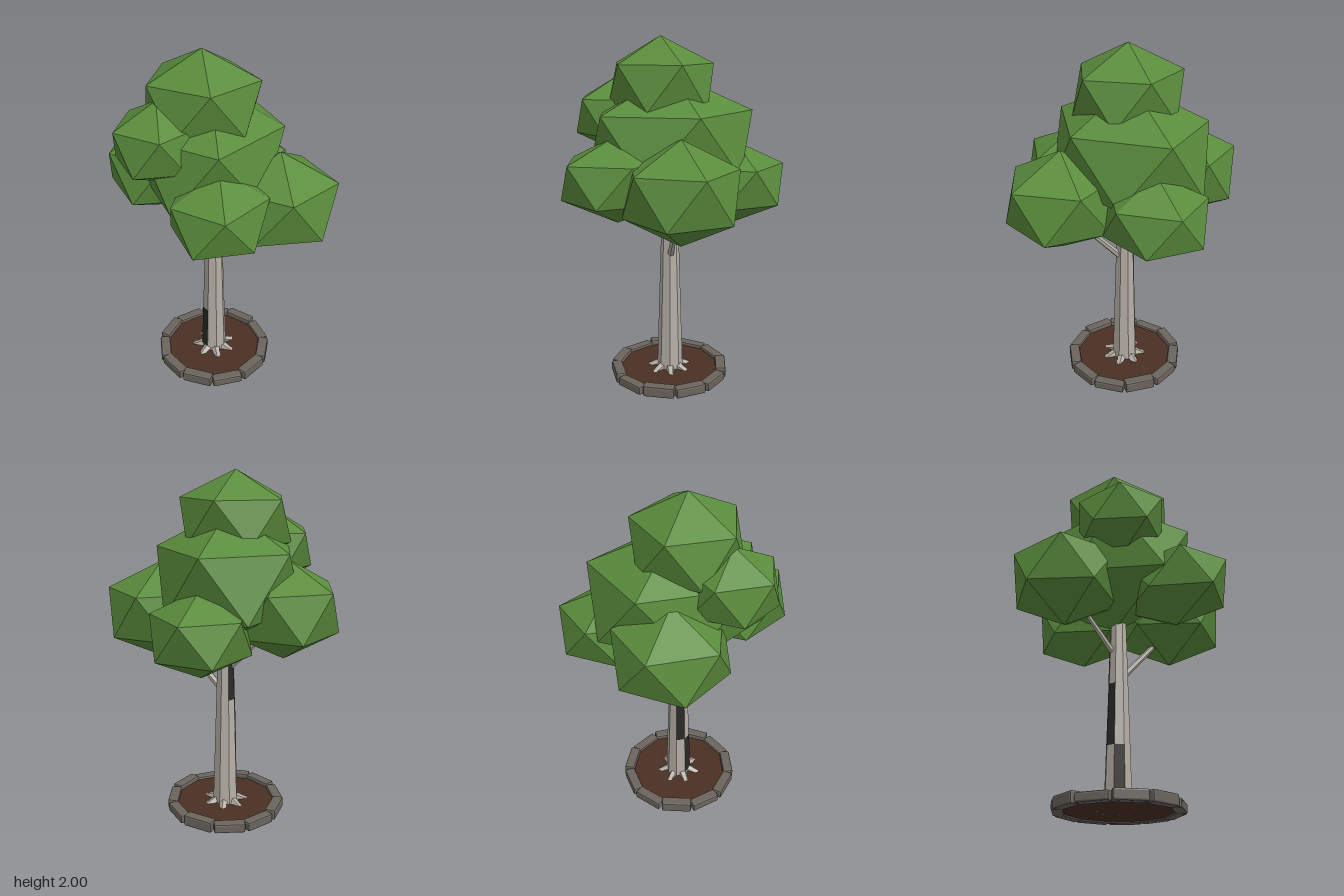
import * as THREE from 'three';
import { RoundedBoxGeometry } from 'three/addons/geometries/RoundedBoxGeometry.js';

const mat = (color) => new THREE.MeshStandardMaterial({ color, flatShading: true });

export function createModel() {
  const tree = new THREE.Group();
  const leaf = mat(0x5a8c3c), bark = mat(0xb5afa5), darkBark = mat(0x2b2a28);
  const stone = mat(0x6a645d), soil = mat(0x4a3024);
  const CX = -0.03; // trunk and planter axis

  const add = (name, geometry, material, parent = tree) => {
    const mesh = new THREE.Mesh(geometry, material);
    mesh.name = name;
    parent.add(mesh);
    return mesh;
  };
  const addGroup = (name) => {
    const g = new THREE.Group();
    g.name = name;
    tree.add(g);
    return g;
  };

  // Foliage: squashed icosahedra standing on a corner
  const foliage = addGroup('foliage');
  const clumps = [
    // name, centre, radii
    ['crownClump', [-0.08, 1.73, 0.03], [0.345, 0.27, 0.33]],
    ['coreClump', [-0.05, 1.42, -0.02], [0.45, 0.38, 0.53]],
    ['leftClump', [0.345, 1.205, 0.085], [0.35, 0.285, 0.345]],
    ['rightClump', [-0.36, 1.265, -0.12], [0.335, 0.28, 0.345]],
    ['backClump', [0.075, 1.18, -0.36], [0.3, 0.24, 0.325]],
    ['frontClump', [0.06, 1.245, 0.34], [0.29, 0.24, 0.345]],
    ['upperRightClump', [-0.28, 1.555, 0.21], [0.26, 0.225, 0.28]],
  ];
  for (const [name, centre, radii] of clumps) {
    const g = new THREE.IcosahedronGeometry(1, 0);
    g.rotateZ(-Math.atan(2 / (1 + Math.sqrt(5)))); // corner up
    g.scale(...radii).translate(...centre);
    add(name, g, leaf, foliage);
  }

  // Trunk: eight-sided taper
  const radiusAt = (y) => 0.078 - 0.03 * y;
  const section = (y0, y1, start, sides, grow = 0) =>
    new THREE.CylinderGeometry(radiusAt(y1) + grow, radiusAt(y0) + grow, y1 - y0, sides, 1,
      sides < 8, start, (sides * Math.PI) / 4).translate(CX, (y0 + y1) / 2, -0.005);
  add('trunk', section(0.02, 1.25, Math.PI / 8, 8), bark);

  // Dark bark panels climbing round the trunk, one side at a time
  [[0.06, 0.35], [0.35, 0.7], [0.7, 0.95], [0.95, 1.2]].forEach(([y0, y1], i) => {
    const start = -Math.PI / 4 * (i + 1) - Math.PI / 8;
    add('darkBarkPanel', section(y0, y1, start, 1, 0.0015), darkBark);
  });

  // Tapered limbs between two points
  const limb = (name, a, b, r0, r1, sides, parent) => {
    const from = new THREE.Vector3(...a), to = new THREE.Vector3(...b);
    const dir = to.clone().sub(from);
    const m = add(name, new THREE.CylinderGeometry(r1, r0, dir.length(), sides), bark, parent);
    m.position.copy(from).add(to).multiplyScalar(0.5);
    m.quaternion.setFromUnitVectors(new THREE.Vector3(0, 1, 0), dir.normalize());
  };
  limb('leftBranch', [-0.01, 0.75, 0], [0.26, 1.05, 0.07], 0.021, 0.014, 6, tree);
  limb('rightBranch', [-0.04, 0.87, -0.01], [-0.26, 1.12, -0.08], 0.019, 0.013, 6, tree);

  // Roots round the foot
  const roots = addGroup('roots');
  for (let i = 0; i < 7; i++) {
    const a = (i / 7) * Math.PI * 2 + 0.3, c = Math.cos(a), s = Math.sin(a);
    limb('root', [CX + 0.05 * c, 0.05, 0.05 * s], [CX + 0.125 * c, 0.022, 0.125 * s],
      0.028, 0.018, 5, roots);
  }

  // Soil bed
  add('soil', new THREE.CylinderGeometry(0.31, 0.31, 0.025, 22).translate(CX, 0.0225, 0), soil);

  // Stone edging
  const edging = addGroup('stoneEdging');
  const count = 11;
  for (let i = 0; i < count; i++) {
    const a = (i / count) * Math.PI * 2;
    const h = 0.058 + 0.008 * Math.sin(i * 2.3);
    const m = add('edgingStone', new RoundedBoxGeometry(0.062, h, 0.18, 1, 0.01), stone, edging);
    m.position.set(CX + 0.312 * Math.cos(a), h / 2, 0.312 * Math.sin(a));
    m.rotation.y = -a;
  }
  return tree;
}
